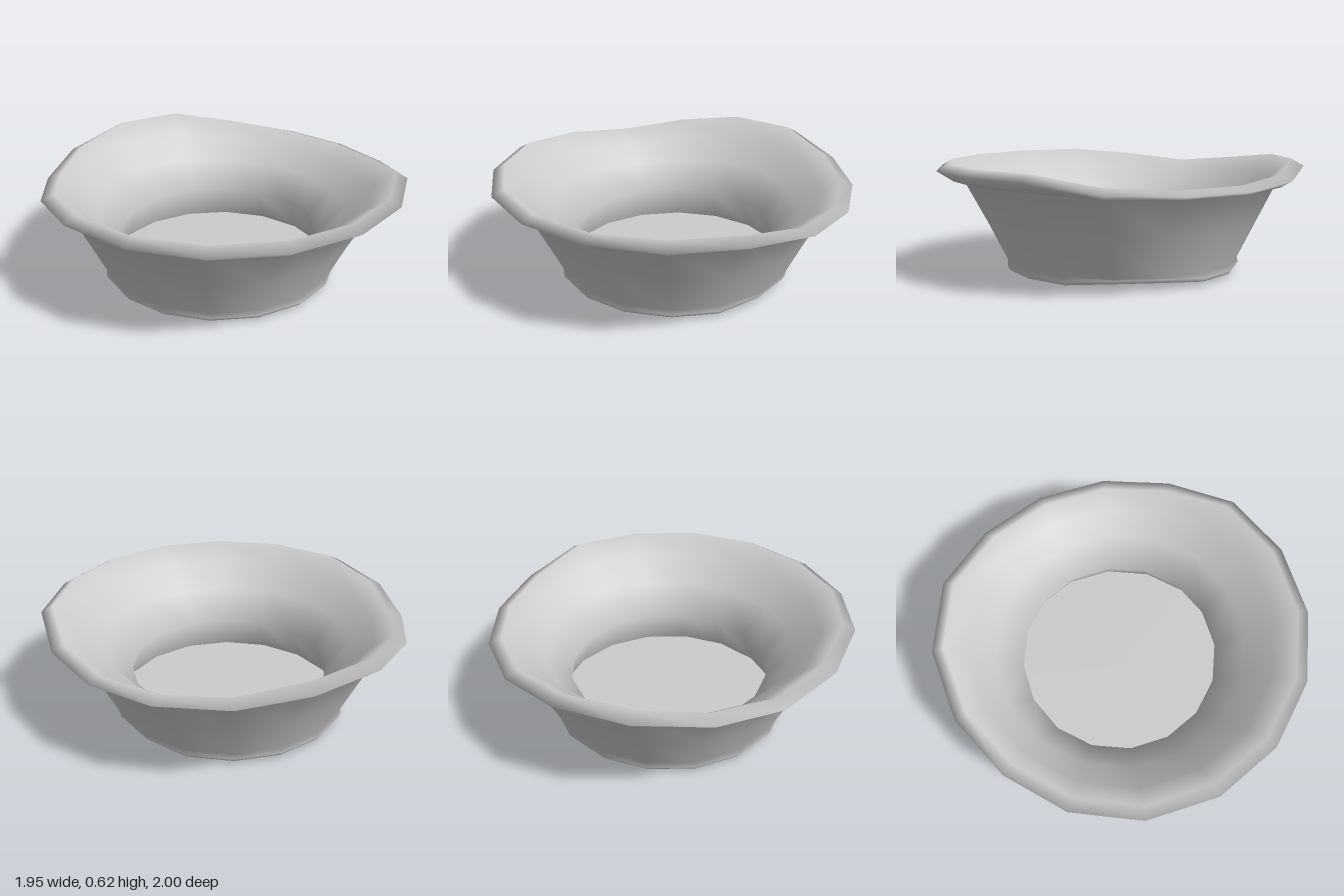
import * as THREE from 'three';
import { mergeVertices } from 'three/addons/utils/BufferGeometryUtils.js';

const SIDES = 16;
const START = THREE.MathUtils.degToRad(7.5);

// Height change of the wavy rim at each of the sixteen corners, counted from the front towards +x
const RIM_WAVE = [0, 0, 0, 0, -0.06, -0.075, -0.07, -0.045, 0.01, 0.01, -0.03, -0.065, -0.03, 0, 0, 0];

// Corners where the base edge is lifted, on the left side
const LIFTED_BASE = [4, 5];

// Revolve a profile of [radius, height, share of the rim wave], then warp it
function turned(name, profile, material) {
  const points = profile.map(([r, y]) => new THREE.Vector2(r, y));
  let geometry = new THREE.LatheGeometry(points, SIDES, START);
  const pos = geometry.attributes.position;
  for (let i = 0; i < pos.count; i++) {
    const k = Math.floor(i / profile.length) % SIDES;
    const [r, y, share] = profile[i % profile.length];
    const lift = RIM_WAVE[k] * share;
    const baseLift = r > 0.5 && y < 0.045 && LIFTED_BASE.includes(k) ? 0.02 : 0;
    const grow = 1 + lift * 0.6;
    pos.setXYZ(
      i,
      pos.getX(i) * grow - 0.012 + 0.018 * share,
      y + lift + baseLift,
      pos.getZ(i) * grow - 0.012 * (1 - share)
    );
  }
  // Weld the seam so that the shading is continuous
  geometry.deleteAttribute('uv');
  geometry.deleteAttribute('normal');
  geometry = mergeVertices(geometry, 1e-4);
  geometry.computeVertexNormals();
  const mesh = new THREE.Mesh(geometry, material);
  mesh.name = name;
  return mesh;
}

export function createModel() {
  const group = new THREE.Group();
  group.name = 'bowl';
  const material = new THREE.MeshStandardMaterial({ color: 0xcccccc, side: THREE.DoubleSide });

  // Slightly domed underside
  group.add(turned('base', [[0, 0, 0], [0.637, 0.02, 0]], material));

  // Outer wall, broad rim, inner funnel and the undercut wall below its lip, as one smooth skin
  group.add(turned('wallAndRim', [
    [0.637, 0.02, 0], [0.652, 0.04, 0], [0.643, 0.065, 0],
    [0.75, 0.28, 0], [0.87, 0.512, 0.25],
    [0.925, 0.515, 0.4], [1.005, 0.572, 0.85], [0.94, 0.608, 1],
    [0.83, 0.525, 0.75], [0.69, 0.395, 0.25], [0.545, 0.24, 0],
    [0.615, 0.052, 0],
  ], material));

  // Floor reaching under the lip
  group.add(turned('floor', [[0.615, 0.052, 0], [0, 0.052, 0]], material));

  return group;
}
